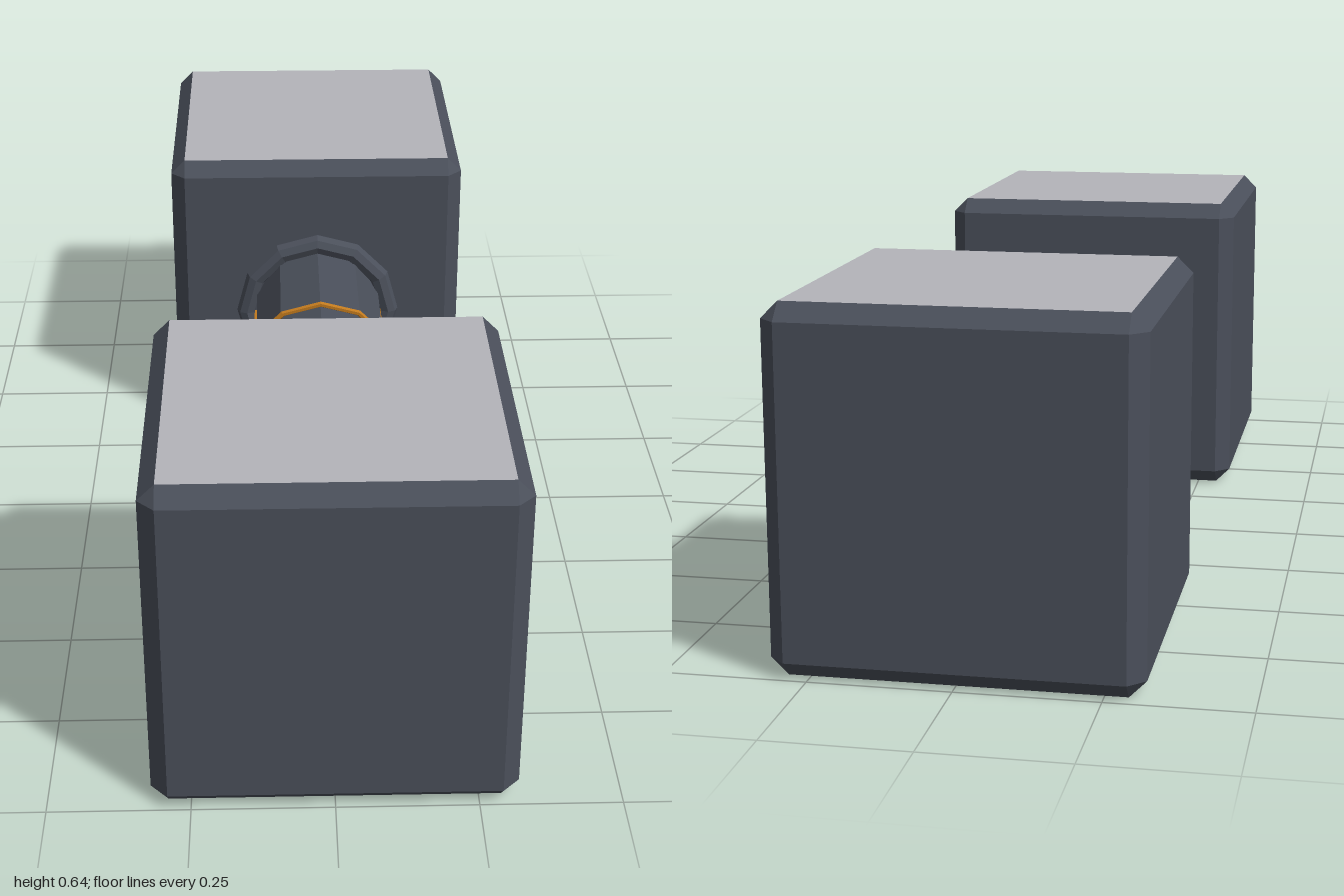
import * as THREE from 'three';
import { ConvexGeometry } from 'three/addons/geometries/ConvexGeometry.js';

const AXIS_Y = 0.32; // height of the handle axis
const dark = new THREE.MeshStandardMaterial({ color: 0x4a4f5a });
dark.name = 'darkSteel';
const light = new THREE.MeshStandardMaterial({ color: 0xb4b4ba });
light.name = 'lightSteel';
const orange = new THREE.MeshStandardMaterial({ color: 0xc27a1e });
orange.name = 'orangeTrim';

// Faceted normals for a low-poly look
function facet(geometry) {
  const g = geometry.index ? geometry.toNonIndexed() : geometry;
  g.computeVertexNormals();
  return g;
}

// Cube with every edge chamfered; top and bottom faces use the second material
function chamferedCube(half, chamfer) {
  const inner = half - chamfer;
  const points = [];
  for (const x of [-1, 1]) for (const y of [-1, 1]) for (const z of [-1, 1]) {
    points.push(
      new THREE.Vector3(x * half, y * inner, z * inner),
      new THREE.Vector3(x * inner, y * half, z * inner),
      new THREE.Vector3(x * inner, y * inner, z * half));
  }
  const g = facet(new ConvexGeometry(points));
  const normal = g.getAttribute('normal');
  for (let i = 0; i < normal.count; i += 3) {
    g.addGroup(i, 3, Math.abs(normal.getY(i)) > 0.95 ? 1 : 0);
  }
  return g;
}

export function createModel() {
  const model = new THREE.Group();
  model.name = 'blockDumbbell';

  function add(name, geometry, material, x, z) {
    const mesh = new THREE.Mesh(geometry, material);
    mesh.name = name;
    mesh.position.set(x, AXIS_Y, z);
    model.add(mesh);
  }

  // Handle shaft, ten-sided, running between the weights
  const shaft = new THREE.CylinderGeometry(0.141, 0.141, 0.74, 10).rotateX(Math.PI / 2);
  add('handle', facet(shaft), dark, 0, 0);

  // Weights and collars at both ends
  const weight = chamferedCube(0.32, 0.03);
  const collar = facet(new THREE.TorusGeometry(0.157, 0.022, 8, 12));
  for (const [side, s] of [['front', 1], ['back', -1]]) {
    add(side + 'Weight', weight, [dark, light], 0, s * 0.68);
    add(side + 'Collar', collar, dark, 0, s * 0.298);
  }

  // Trim: a thin hoop around the middle and a strip along each side
  add('middleHoop', facet(new THREE.TorusGeometry(0.157, 0.006, 6, 12)), orange, 0, 0);
  const strip = new THREE.BoxGeometry(0.012, 0.012, 0.56);
  add('leftStrip', strip, orange, 0.134, 0);
  add('rightStrip', strip, orange, -0.134, 0);

  return model;
}
